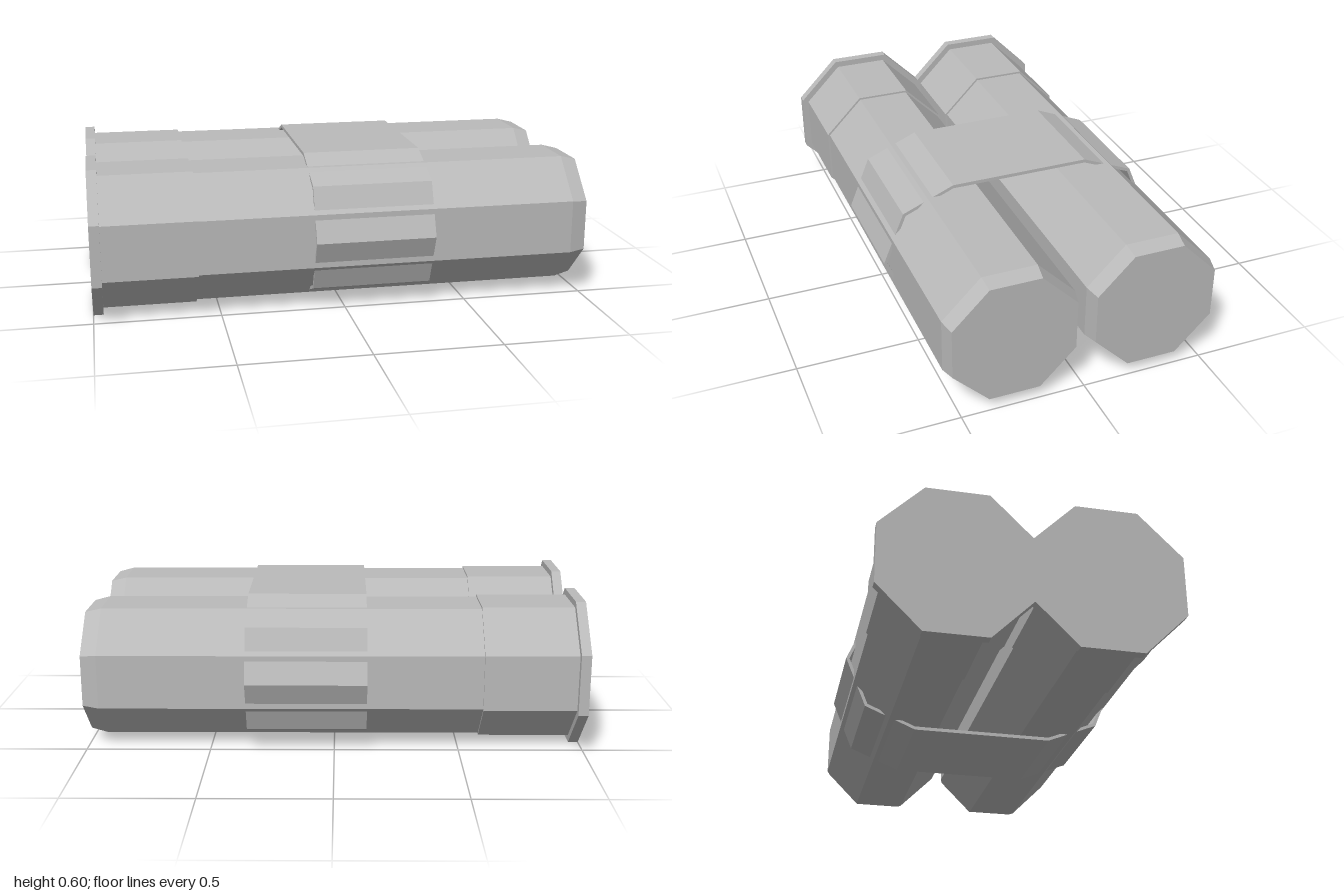
import * as THREE from 'three';

const CY = 0.302, CZ = 0.286;
const APOTHEM = Math.cos(Math.PI / 8);

const grey = new THREE.MeshStandardMaterial({ color: 0xbababa });
grey.name = 'grey';

// Faceted normals for a low-poly look
function facet(geometry) {
  const g = geometry.index ? geometry.toNonIndexed() : geometry;
  g.computeVertexNormals();
  return g;
}

// Octagonal prism along x, flat side up; sizes are half-widths across the flats
function octagon(name, x0, x1, half0, half1 = half0) {
  const g = new THREE.CylinderGeometry(half1 / APOTHEM, half0 / APOTHEM, x1 - x0, 8, 1, false, Math.PI / 8);
  g.rotateZ(-Math.PI / 2);
  g.translate((x0 + x1) / 2, 0, 0);
  const mesh = new THREE.Mesh(facet(g), grey);
  mesh.name = name;
  return mesh;
}

// One capped tube: rim, base sleeve, long body and tapered nose
function makeTube(name, z) {
  const tube = new THREE.Group();
  tube.name = name;
  tube.add(
    octagon('rim', -1, -0.96, 0.296),
    octagon('base', -0.96, -0.59, 0.27),
    octagon('body', -0.59, 0.935, 0.262),
    octagon('nose', 0.935, 1, 0.262, 0.246)
  );
  tube.position.set(0, CY, z);
  return tube;
}

// Closed loop around both tubes, with a coarse half-octagon at each end
function loopPoints(radius) {
  const points = [];
  for (const side of [1, -1]) {
    for (let i = 0; i <= 4; i++) {
      const a = -Math.PI / 2 + (i * Math.PI) / 4;
      points.push(new THREE.Vector2(side * (CZ + radius * Math.cos(a)), side * radius * Math.sin(a)));
    }
  }
  return points;
}

function makeStrap(x0, x1) {
  const shape = new THREE.Shape(loopPoints(0.298));
  shape.holes.push(new THREE.Path(loopPoints(0.284)));
  const g = new THREE.ExtrudeGeometry(shape, { depth: x1 - x0, bevelEnabled: false });
  g.rotateY(Math.PI / 2);
  g.translate(x0, CY, 0);
  const strap = new THREE.Mesh(facet(g), grey);
  strap.name = 'strap';
  return strap;
}

export function createModel() {
  const model = new THREE.Group();
  model.name = 'strappedTubes';
  model.add(makeTube('frontTube', CZ), makeTube('backTube', -CZ), makeStrap(-0.13, 0.352));
  return model;
}
